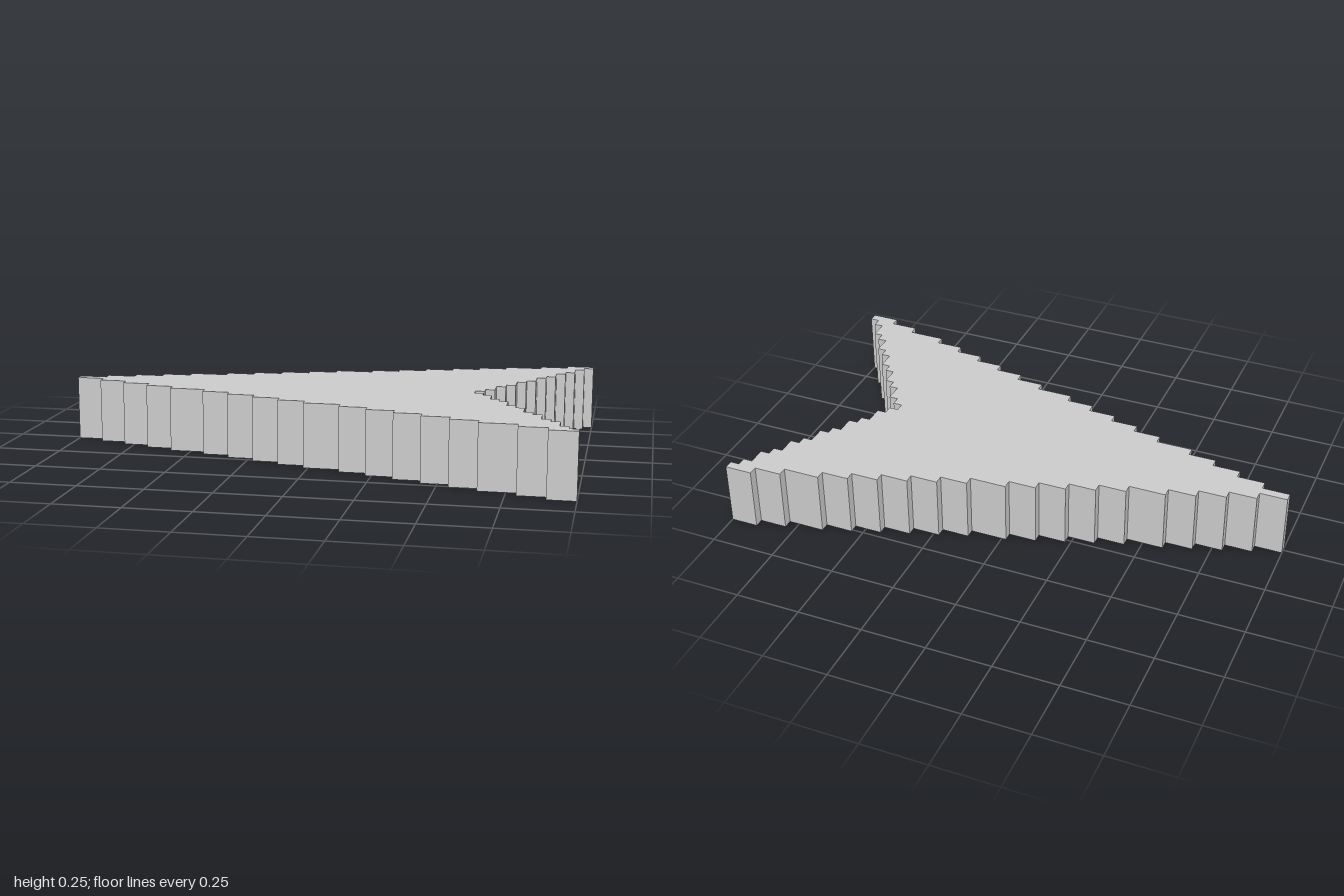
import * as THREE from 'three';

const CELL = 2 / 57; // the arrowhead is drawn on a 57 x 35 grid of square cells
const HEIGHT = 7 * CELL;
const ROWS = 18; // centre row plus 17 rows to each side

// First and last cell edge of row k, counted outwards from the centre line
const outerEdge = (k) => 3 * k + (k >= 5) + (k >= 10) + (k >= 16);
const notchEdge = (k) => 45 + Math.ceil((2 * k) / 3);

export function createModel() {
  const group = new THREE.Group();
  group.name = 'steppedArrowhead';

  // Stepped outline: walk the rows along the outer edge, then back along the notch
  const points = [];
  const add = (col, row) => {
    const p = new THREE.Vector2(col * CELL - 1, row * CELL);
    const n = points.length;
    // Merge straight runs where neighbouring rows end in the same column
    if (n > 1 && points[n - 1].x === p.x && points[n - 2].x === p.x) points.pop();
    points.push(p);
  };
  for (let r = ROWS - 1; r > -ROWS; r--) {
    add(outerEdge(Math.abs(r)), r + 0.5);
    add(outerEdge(Math.abs(r)), r - 0.5);
  }
  for (let r = 1 - ROWS; r < ROWS; r++) {
    add(notchEdge(Math.abs(r)), r - 0.5);
    add(notchEdge(Math.abs(r)), r + 0.5);
  }

  // Flat slab standing on the ground
  const geometry = new THREE.ExtrudeGeometry(new THREE.Shape(points), {
    depth: HEIGHT,
    bevelEnabled: false,
  });
  geometry.rotateX(-Math.PI / 2);

  const slab = new THREE.Mesh(
    geometry,
    new THREE.MeshStandardMaterial({ color: 0xcccccc, flatShading: true })
  );
  slab.name = 'arrowheadSlab';
  group.add(slab);
  return group;
}
